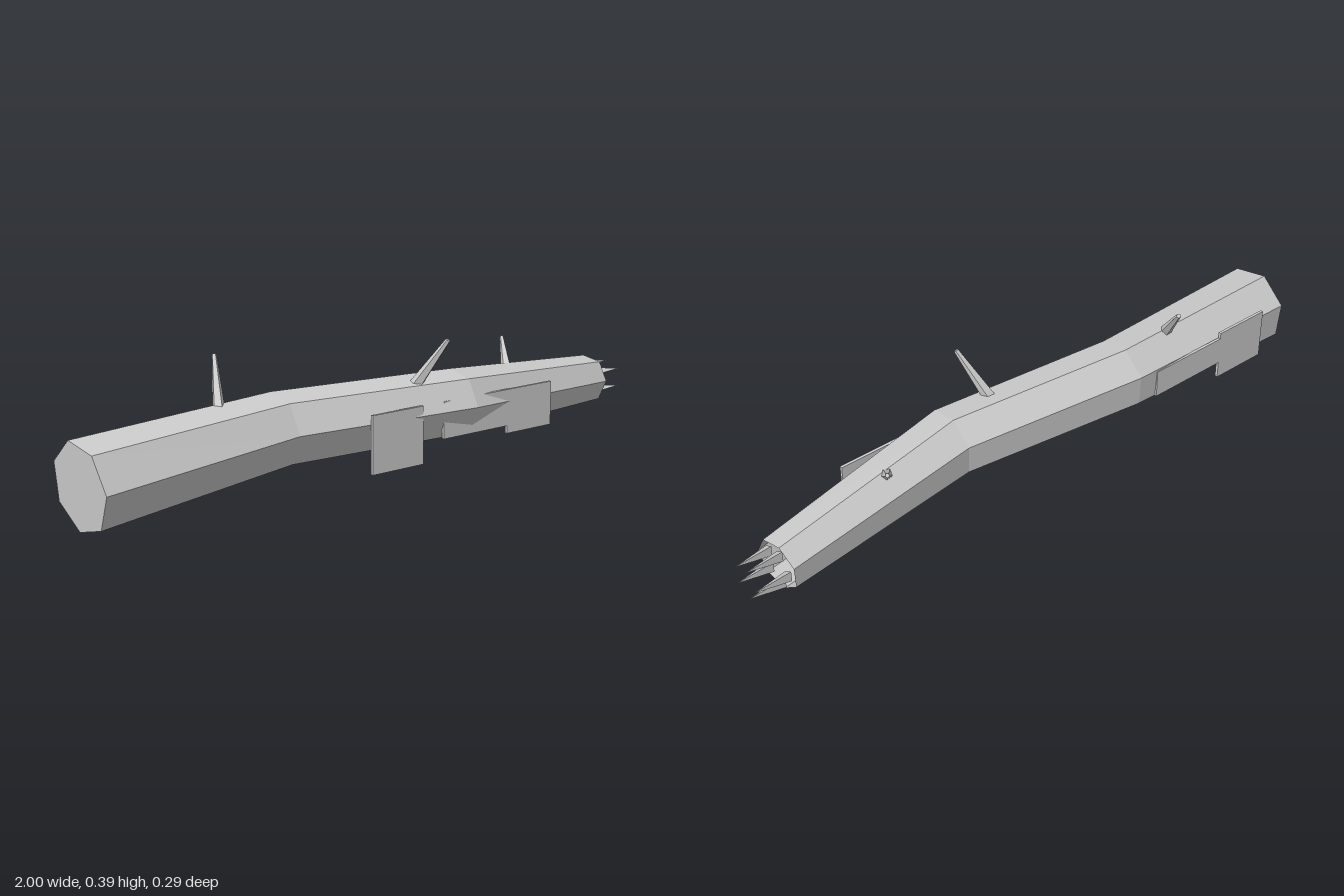
import * as THREE from 'three';

export function createModel() {
  const model = new THREE.Group();
  const wood = new THREE.MeshStandardMaterial({ color: 0xcccccc, flatShading: true, side: THREE.DoubleSide });
  wood.name = 'pale wood';
  const add = (name, geometry) => {
    const mesh = new THREE.Mesh(geometry, wood);
    mesh.name = name;
    model.add(mesh);
    return mesh;
  };

  // Rings along the trunk: centre, radius, and lean of x with y and z
  const SIDES = 7;
  const sections = [
    { c: [-0.99, 0.128, 0.016], r: 0.127, ly: -0.06, lz: 0.07 },
    { c: [-0.35, 0.168, -0.025], r: 0.111, ly: 0, lz: 0 },
    { c: [0.25, 0.17, 0.042], r: 0.104, ly: 0, lz: 0 },
    { c: [0.89, 0.138, -0.039], r: 0.078, ly: 0.05, lz: 0.12 },
  ];
  const rings = sections.map(({ c, r, ly, lz }) =>
    Array.from({ length: SIDES }, (_, j) => {
      const a = 0.05 + (j / SIDES) * Math.PI * 2;
      const y = r * Math.sin(a), z = r * Math.cos(a);
      return [c[0] + y * ly + z * lz, c[1] + y, c[2] + z];
    }));
  const fromTriangles = (points) => {
    const g = new THREE.BufferGeometry();
    g.setAttribute('position', new THREE.Float32BufferAttribute(points.flat(), 3));
    g.computeVertexNormals();
    return g;
  };

  // Bent trunk, hollow at the broken end
  const walls = [], cap = [];
  for (let j = 0; j < SIDES; j++) {
    const k = (j + 1) % SIDES;
    for (let i = 0; i < rings.length - 1; i++) {
      const a = rings[i], b = rings[i + 1];
      walls.push(a[j], b[j], a[k], a[k], b[j], b[k]);
    }
    cap.push(sections[0].c, rings[0][j], rings[0][k]);
  }
  add('trunk', fromTriangles(walls));
  add('cutEnd', fromTriangles(cap));

  // Tapered branch stubs
  const up = new THREE.Vector3(0, 1, 0);
  const stub = (base, tip, r) => {
    const a = new THREE.Vector3(...base), b = new THREE.Vector3(...tip);
    const dir = b.clone().sub(a);
    const mesh = add('branchStub', new THREE.CylinderGeometry(r * 0.36, r, dir.length(), 5));
    mesh.position.copy(a).add(b).multiplyScalar(0.5);
    mesh.quaternion.setFromUnitVectors(up, dir.normalize());
  };
  stub([-0.54, 0.235, -0.025], [-0.48, 0.384, -0.14], 0.02);
  stub([0.08, 0.235, 0.045], [0.137, 0.392, 0.139], 0.021);
  stub([0.505, 0.225, -0.01], [0.565, 0.309, -0.102], 0.018);

  // Five splinters around the broken end
  for (let i = 0; i < 5; i++) {
    const a = Math.PI + (i / 5) * Math.PI * 2;
    const geometry = new THREE.ConeGeometry(0.019, 0.11, 3);
    geometry.rotateY(-Math.PI / 2);
    geometry.rotateZ(-Math.PI / 2);
    const mesh = add('splinter', geometry);
    mesh.rotation.x = Math.PI / 2;
    mesh.position.set(0.94, 0.136 + 0.049 * Math.sin(a), -0.04 + 0.049 * Math.cos(a));
  }

  // Thin bark flakes, partly sunk into the trunk
  const flake = (x0, x1, y0, y1, z) => {
    const mesh = add('barkFlake', new THREE.BoxGeometry(x1 - x0, y1 - y0, 0.009));
    mesh.position.set((x0 + x1) / 2, (y0 + y1) / 2, z);
  };
  flake(-0.125, 0.06, 0.03, 0.205, 0.119);
  flake(0.39, 0.57, 0.068, 0.205, 0.117);
  flake(0.14, 0.39, 0.092, 0.205, 0.117);
  flake(-0.88, -0.69, 0.055, 0.22, -0.122);
  flake(-0.69, -0.42, 0.11, 0.2, -0.122);

  return model;
}
